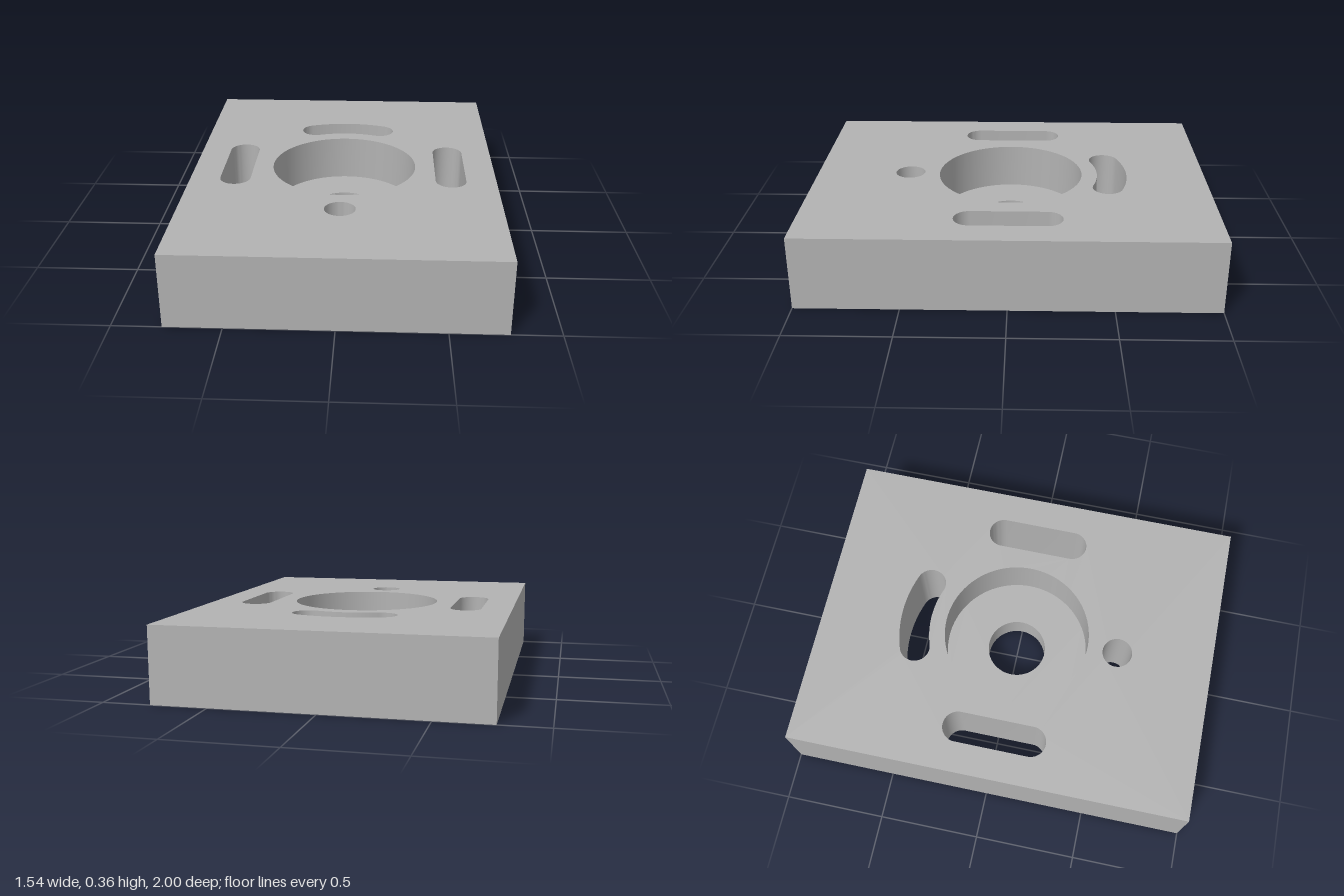
import * as THREE from 'three';
import { toCreasedNormals } from 'three/addons/utils/BufferGeometryUtils.js';

const W = 0.77, D = 1, H = 0.364, FLOOR = 0.135;
const rad = THREE.MathUtils.degToRad;

// Plan outlines are counter-clockwise in (x, -z); the end point of each arc is left out.
function arc(cx, cy, r, from, to, n) {
  return Array.from({ length: n }, (_, i) => {
    const a = rad(from + (to - from) * i / n);
    return new THREE.Vector2(cx + r * Math.cos(a), cy + r * Math.sin(a));
  });
}
const circle = (cx, cy, r, n = 72) => arc(cx, cy, r, 0, 360, n);

function straightSlot(cx, half, r) {
  return [...arc(cx, half, r, 0, 180, 24), ...arc(cx, -half, r, 180, 360, 24)];
}

function curvedSlot(R, r, a0, a1) {
  const cap = (a, from) => arc(R * Math.cos(rad(a)), R * Math.sin(rad(a)), r, from, from + 180, 24);
  return [
    ...arc(0, 0, R + r, a0, a1, 16), ...cap(a1, a1),
    ...arc(0, 0, R - r, a1, a0, 16), ...cap(a0, a0 + 180),
  ];
}

// Horizontal face with holes, facing up or down
function face(outline, holes, y, down = false) {
  const shape = new THREE.Shape(outline);
  shape.holes = holes.map((h) => new THREE.Path(h));
  const g = new THREE.ShapeGeometry(shape).rotateX(-Math.PI / 2).translate(0, y, 0);
  if (down) {
    g.index.array.reverse();
    g.computeVertexNormals();
  }
  return g;
}

// Vertical wall along an outline, facing outward, or inward for a hole
function wall(outline, y0, y1, inward = false) {
  const pts = inward ? [...outline].reverse() : outline;
  const pos = [], idx = [], n = pts.length;
  pts.forEach((p, i) => {
    pos.push(p.x, y0, -p.y, p.x, y1, -p.y);
    const a = 2 * i, b = 2 * ((i + 1) % n);
    idx.push(a, b, b + 1, a, b + 1, a + 1);
  });
  const g = new THREE.BufferGeometry();
  g.setAttribute('position', new THREE.Float32BufferAttribute(pos, 3));
  g.setIndex(idx);
  return toCreasedNormals(g, 0.6);
}

export function createModel() {
  const grey = new THREE.MeshStandardMaterial({ color: 0xb2b2b2 });
  grey.name = 'plain grey';
  const model = new THREE.Group();
  model.name = 'mountingBlock';
  const add = (name, geometry) => {
    const mesh = new THREE.Mesh(geometry, grey);
    mesh.name = name;
    model.add(mesh);
  };

  const block = [[-W, -D], [W, -D], [W, D], [-W, D]].map(([x, y]) => new THREE.Vector2(x, y));
  const bore = circle(0, 0, 0.15);
  const counterbore = circle(0, 0, 0.368, 96);
  const through = {
    leftSlot: straightSlot(0.543, 0.183, 0.077),
    rightSlot: straightSlot(-0.543, 0.183, 0.077),
    curvedSlot: curvedSlot(0.524, 0.076, 70, 110),
    pinHole: circle(0, -0.521, 0.075, 48),
  };
  const cutouts = Object.values(through);

  // Block faces
  add('topFace', face(block, [counterbore, ...cutouts], H));
  add('bottomFace', face(block, [bore, ...cutouts], 0, true));
  add('blockSides', wall(block, 0, H));

  // Stepped central bore
  add('counterboreWall', wall(counterbore, FLOOR, H, true));
  add('counterboreFloor', face(counterbore, [bore], FLOOR));
  add('boreWall', wall(bore, 0, FLOOR, true));

  // Walls of the slots and pin hole
  for (const [name, outline] of Object.entries(through)) add(name + 'Wall', wall(outline, 0, H, true));

  return model;
}
